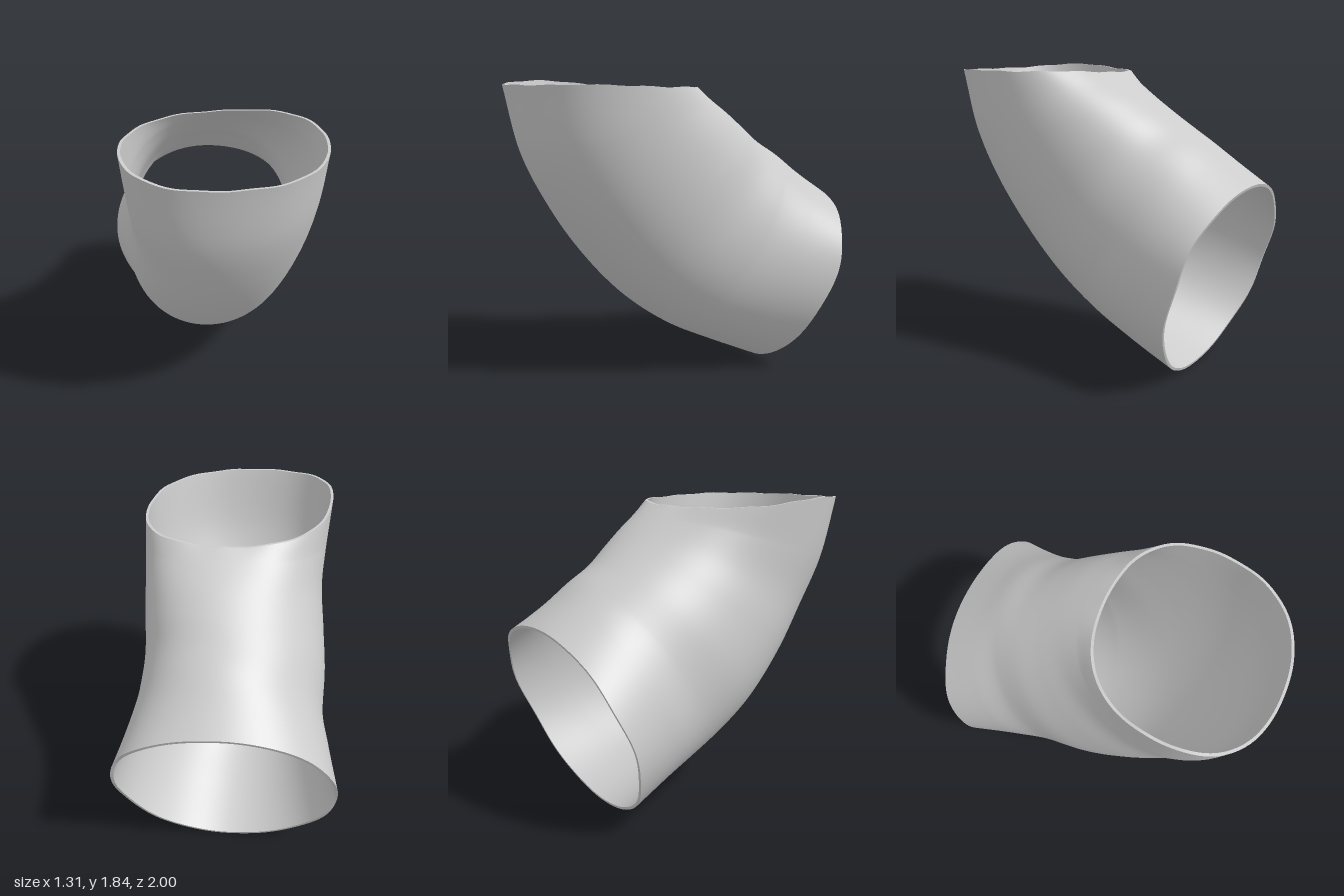
import * as THREE from 'three';
import { ParametricGeometry } from 'three/addons/geometries/ParametricGeometry.js';

// Cross-sections from the upper opening to the lower one:
// front z, y, back z, y, right width, left width, skew
const SECTIONS = [
  [1.0, 1.8, -0.07, 1.785, 0.555, 0.572, 0.065],
  [0.91, 1.4, -0.17, 1.725, 0.55, 0.545, 0.065],
  [0.775, 1.11, -0.29, 1.65, 0.545, 0.53, 0.06],
  [0.57, 0.8, -0.42, 1.56, 0.535, 0.55, 0.055],
  [0.3, 0.5, -0.55, 1.47, 0.525, 0.568, 0.04],
  [0.01, 0.285, -0.69, 1.385, 0.54, 0.56, 0.03],
  [-0.29, 0.14, -0.83, 1.28, 0.59, 0.6, 0.01],
  [-0.61, 0.0, -1.0, 1.16, 0.652, 0.655, 0],
];
const INNER = 0.972; // inner wall scale

const curve = (pick) => new THREE.CatmullRomCurve3(SECTIONS.map((s) => new THREE.Vector3(...pick(s))));
const frontLine = curve((s) => [0, s[1], s[0]]);
const backLine = curve((s) => [0, s[3], s[2]]);
const widths = curve((s) => [s[4], s[5], s[6]]);

const f = new THREE.Vector3(), b = new THREE.Vector3(), w = new THREE.Vector3();

// Point on the wall: angle a (0 = front, quarter turn = +x), t down the tube
function wall(a, t, scale, target) {
  frontLine.getPoint(t, f);
  backLine.getPoint(t, b);
  widths.getPoint(t, w);
  // fuller than an ellipse near the top, right side lifted near the bottom
  const full = scale * (1 + 0.05 * (1 - t) * Math.sin(2 * a) ** 2);
  const s = Math.sin(a) * full;
  const c = Math.cos(a) * full - 0.16 * t ** 4 * Math.max(0, s) ** 2;
  target.set(
    (w.x - w.y) / 2 + ((w.x + w.y) / 2) * s - w.z * c,
    (f.y + b.y) / 2 + ((f.y - b.y) / 2) * c,
    (f.z + b.z) / 2 + ((f.z - b.z) / 2) * c
  );
  // raised corner and slightly uneven edge of the upper opening
  const top = Math.max(0, 1 - t * 6) ** 2;
  target.y += top * (0.04 * Math.max(0, -Math.sin(a - 0.3)) ** 3 + 0.005 * Math.sin(9 * a) * Math.sin(4 * a));
  // slightly uneven edge of the lower opening
  const end = Math.max(0, t * 10 - 9);
  target.z += end * 0.008 * Math.sin(7 * a) * Math.sin(a) ** 2;
}

export function createModel() {
  const group = new THREE.Group();
  group.name = 'bentSleeve';
  const material = new THREE.MeshStandardMaterial({ color: 0xcccccc, side: THREE.DoubleSide });

  const add = (name, fn, stacks) => {
    const mesh = new THREE.Mesh(new ParametricGeometry(fn, 96, stacks), material);
    mesh.name = name;
    group.add(mesh);
  };
  const turn = Math.PI * 2;

  // Walls
  add('outerWall', (u, v, p) => wall(-u * turn, v, 1, p), 48);
  add('innerWall', (u, v, p) => wall(u * turn, v, INNER, p), 48);

  // Rims joining the two walls
  const across = (v) => 1 + (INNER - 1) * v;
  add('upperRim', (u, v, p) => wall(u * turn, 0, across(v), p), 1);
  add('lowerRim', (u, v, p) => wall(-u * turn, 1, across(v), p), 1);

  return group;
}
